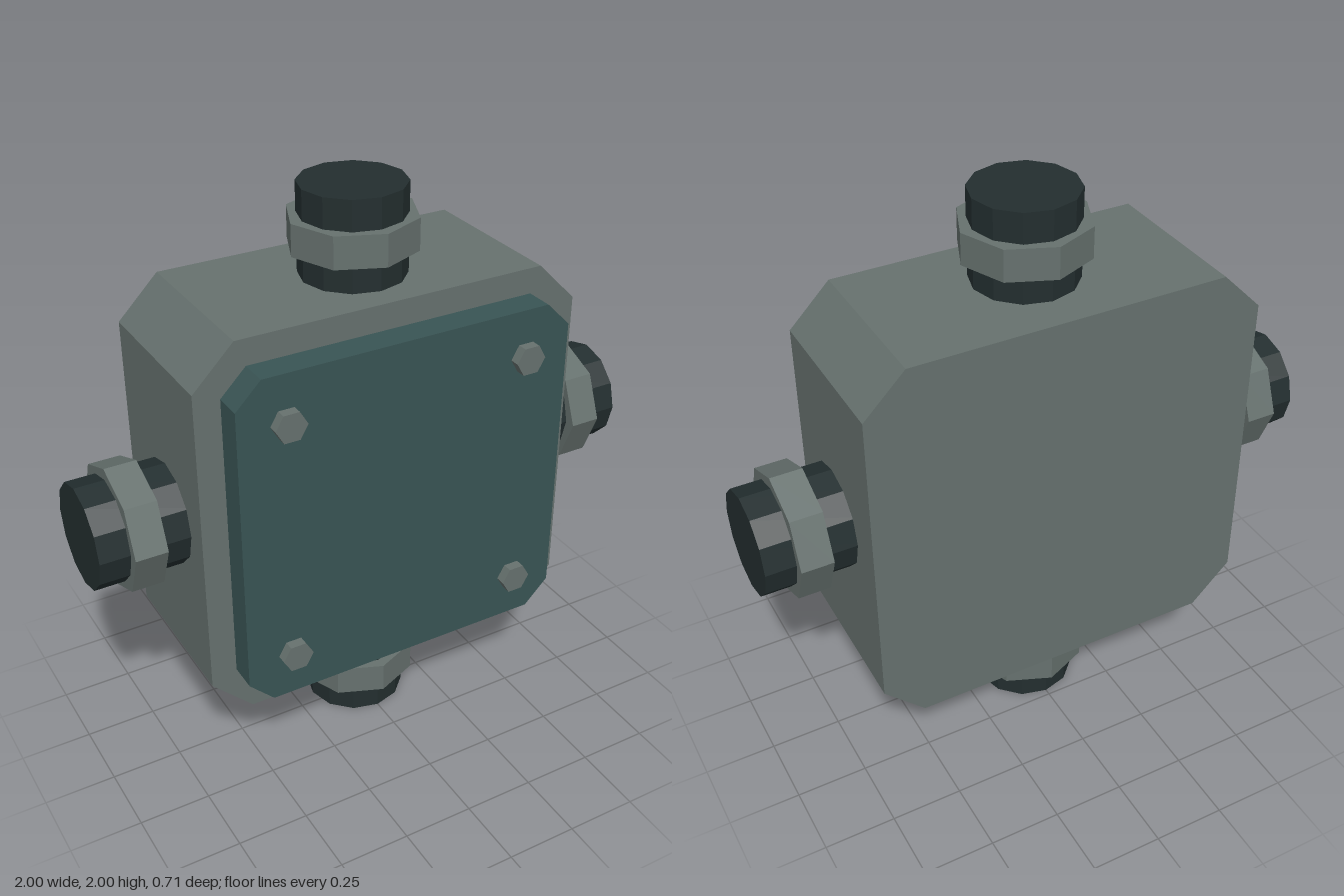
import * as THREE from 'three';

const paint = (name, color) => {
  const m = new THREE.MeshStandardMaterial({ color });
  m.name = name;
  m.flatShading = true;
  return m;
};

// Square plate with chamfered corners, extruded from z0 to z1
function chamferedBlock(half, cut, z0, z1) {
  const a = half - cut;
  const points = [
    [a, -half], [half, -a], [half, a], [a, half],
    [-a, half], [-half, a], [-half, -a], [-a, -half],
  ].map(([x, y]) => new THREE.Vector2(x, y));
  const geo = new THREE.ExtrudeGeometry(new THREE.Shape(points), { depth: z1 - z0, bevelEnabled: false });
  return geo.translate(0, 1, z0);
}

// Upright faceted cylinder spanning y0 to y1
const drum = (radius, y0, y1, sides) =>
  new THREE.CylinderGeometry(radius, radius, y1 - y0, sides).translate(0, (y0 + y1) / 2, 0);

export function createModel() {
  const grey = paint('grey metal', 0x66716e);
  const teal = paint('dark teal', 0x395454);
  const black = paint('dark pipe', 0x232e2f);

  const model = new THREE.Group();
  model.name = 'junctionBox';
  const add = (parent, name, geo, mat) => {
    const mesh = new THREE.Mesh(geo, mat);
    mesh.name = name;
    parent.add(mesh);
    return mesh;
  };

  // Housing and raised front lid
  add(model, 'housing', chamferedBlock(0.693, 0.143, -0.355, 0.22), grey);
  add(model, 'lid', chamferedBlock(0.603, 0.088, 0.22, 0.32), teal);

  // Hexagonal lid bolts
  for (const x of [-0.436, 0.436]) {
    for (const y of [-0.436, 0.436]) {
      const geo = drum(0.055, 0, 0.035, 6).rotateY(Math.PI / 6).rotateX(Math.PI / 2);
      add(model, 'lidBolt', geo, grey).position.set(x, 1 + y, 0.32);
    }
  }

  // Four pipe connectors, one on each edge
  ['top', 'left', 'bottom', 'right'].forEach((side, i) => {
    const connector = new THREE.Group();
    connector.name = side + 'Connector';
    add(connector, 'pipe', drum(0.18, 0.67, 1, 12), black);
    add(connector, 'nut', drum(0.22, 0.787, 0.897, 8), grey);
    connector.position.set(0, 1, -0.047);
    connector.rotation.z = -i * Math.PI / 2;
    model.add(connector);
  });

  return model;
}
